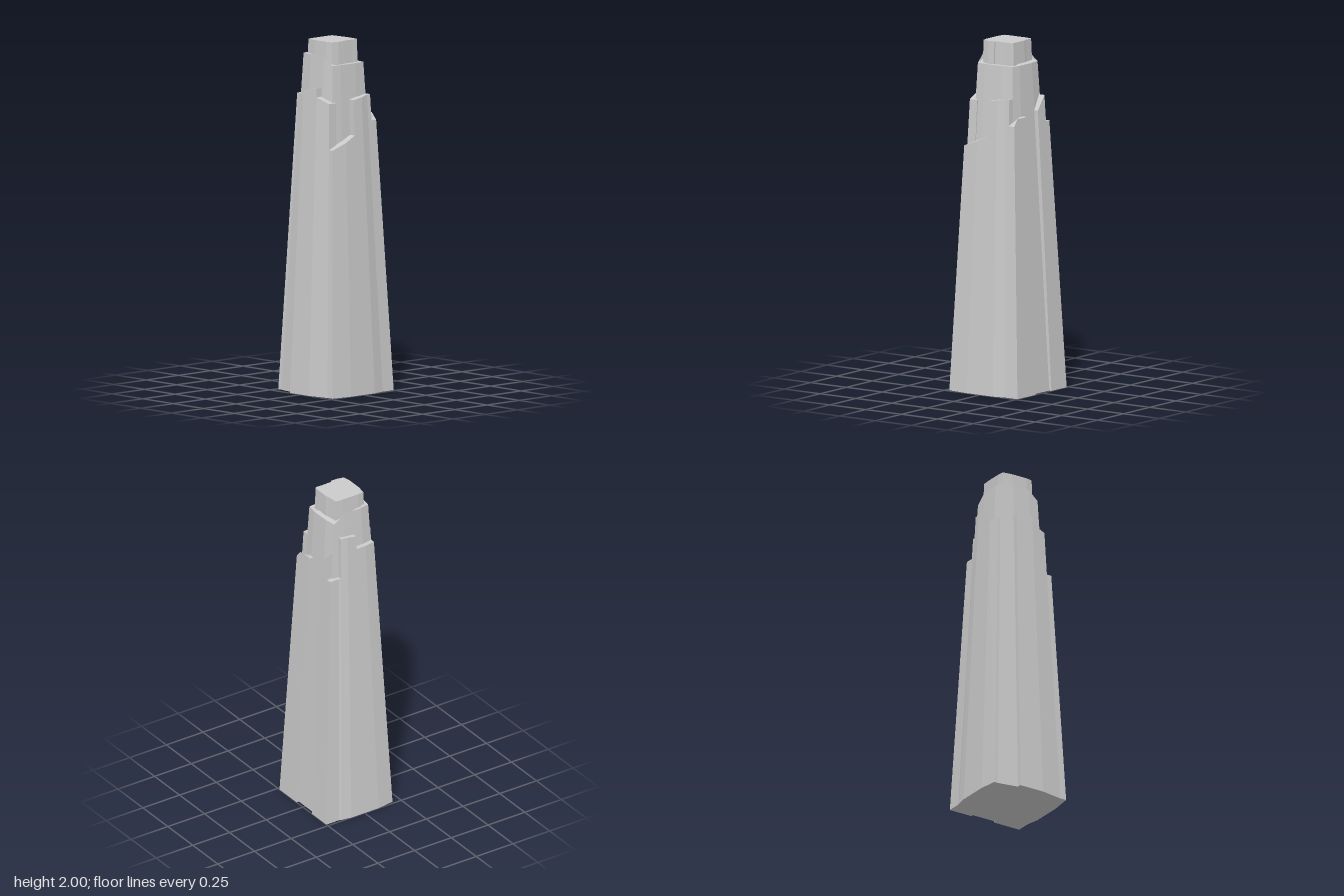
import * as THREE from 'three';

// Tapered prism: each corner is [x, z, topHeight], with x and z given at ground level.
// Corners shrink towards the axis by tx and tz per unit of height.
function taperedPrism(name, corners, { tx = 0.187, tz = 0.187, y0 = 0 } = {}) {
  const outline = corners.map(([x, z]) => new THREE.Vector2(x, z));
  const list = THREE.ShapeUtils.area(outline) < 0 ? [...corners].reverse() : corners;
  const flat = list.map(([x, z]) => new THREE.Vector2(x, z));
  const at = ([x, z], y) => [x * (1 - tx * y), y, z * (1 - tz * y)];
  const bottom = list.map((c) => at(c, y0));
  const top = list.map((c) => at(c, c[2]));
  const pos = [];
  const tri = (a, b, c) => pos.push(...a, ...b, ...c);
  // walls
  for (let i = 0; i < list.length; i++) {
    const j = (i + 1) % list.length;
    tri(bottom[i], top[i], top[j]);
    tri(bottom[i], top[j], bottom[j]);
  }
  // caps
  for (const [a, b, c] of THREE.ShapeUtils.triangulateShape(flat, [])) {
    tri(top[a], top[c], top[b]);
    tri(bottom[a], bottom[b], bottom[c]);
  }
  const geometry = new THREE.BufferGeometry();
  geometry.setAttribute('position', new THREE.Float32BufferAttribute(pos, 3));
  geometry.computeVertexNormals();
  const mesh = new THREE.Mesh(geometry, new THREE.MeshStandardMaterial({ color: 0xcccccc, flatShading: true }));
  mesh.name = name;
  return mesh;
}

export function createModel() {
  const tower = new THREE.Group();
  tower.name = 'tower';

  // Core shaft, seen in the rear recess and above the facade panels
  tower.add(taperedPrism('coreShaft', [
    [-0.222, -0.215, 1.87], [-0.1, -0.235, 1.87], [0.1, -0.235, 1.87], [0.2, -0.22, 1.87],
    [0.212, -0.1, 1.87], [0.212, 0.1, 1.87], [0.2, 0.195, 1.87], [0.09, 0.212, 1.92],
    [-0.09, 0.212, 1.92], [-0.215, 0.195, 1.92], [-0.232, 0.1, 1.92], [-0.232, -0.1, 1.92],
  ], { tx: 0.225, tz: 0.225 }));

  // Crown block
  tower.add(taperedPrism('crown', [
    [-0.168, -0.155, 2], [-0.07, -0.166, 2], [-0.04, -0.173, 2], [0.13, -0.173, 2], [0.145, -0.16, 2],
    [0.142, -0.1, 2], [0.145, 0.015, 2], [0.16, 0.015, 2], [0.16, 0.08, 2], [0.145, 0.145, 2],
    [0.08, 0.158, 2], [-0.07, 0.158, 2], [-0.165, 0.145, 2], [-0.173, 0.08, 2], [-0.173, -0.08, 2],
  ], { y0: 1.8 }));

  // Front facade
  tower.add(taperedPrism('frontCentrePanel', [
    [-0.09, 0.247, 1.72], [0.065, 0.247, 1.74], [0.065, 0.15, 1.74], [-0.09, 0.15, 1.72],
  ]));
  tower.add(taperedPrism('frontLeftPanel', [
    [0.065, 0.247, 1.69], [0.195, 0.225, 1.66], [0.195, 0.15, 1.66], [0.065, 0.15, 1.69],
  ]));
  tower.add(taperedPrism('frontRightCorner', [
    [-0.25, 0, 1.69], [-0.25, 0.095, 1.69], [-0.235, 0.2, 1.69], [-0.21, 0.2, 1.69],
    [-0.09, 0.222, 1.69], [-0.09, 0.12, 1.69], [-0.15, 0, 1.69],
  ], { tz: 0.225 }));

  // Side facades
  tower.add(taperedPrism('rightSidePanel', [
    [-0.25, 0, 1.77], [-0.25, -0.09, 1.78], [-0.24, -0.15, 1.78], [-0.15, -0.15, 1.78], [-0.15, 0, 1.77],
  ]));
  tower.add(taperedPrism('leftSideFrontPanel', [
    [0.25, 0, 1.47], [0.25, 0.095, 1.435], [0.235, 0.225, 1.4], [0.195, 0.225, 1.4],
    [0.15, 0.15, 1.42], [0.15, 0, 1.47],
  ]));
  tower.add(taperedPrism('leftSideBackPanel', [
    [0.235, -0.2, 1.69], [0.235, -0.165, 1.69], [0.25, -0.09, 1.68], [0.25, 0, 1.67],
    [0.15, 0, 1.67], [0.15, -0.2, 1.69],
  ]));

  // Rear facade, split by a full-height recess
  tower.add(taperedPrism('backRightCorner', [
    [-0.24, -0.15, 1.53], [-0.235, -0.165, 1.53], [-0.235, -0.25, 1.53], [-0.19, -0.25, 1.53], [-0.19, -0.15, 1.53],
  ]));
  tower.add(taperedPrism('backRightPanel', [
    [-0.19, -0.25, 1.68], [-0.09, -0.25, 1.6], [-0.083, -0.15, 1.6], [-0.19, -0.15, 1.68],
  ]));
  tower.add(taperedPrism('backLeftPanel', [
    [0.063, -0.25, 1.58], [0.19, -0.25, 1.58], [0.235, -0.25, 1.54], [0.235, -0.19, 1.54],
    [0.19, -0.15, 1.58], [0.055, -0.15, 1.58],
  ]));

  return tower;
}
